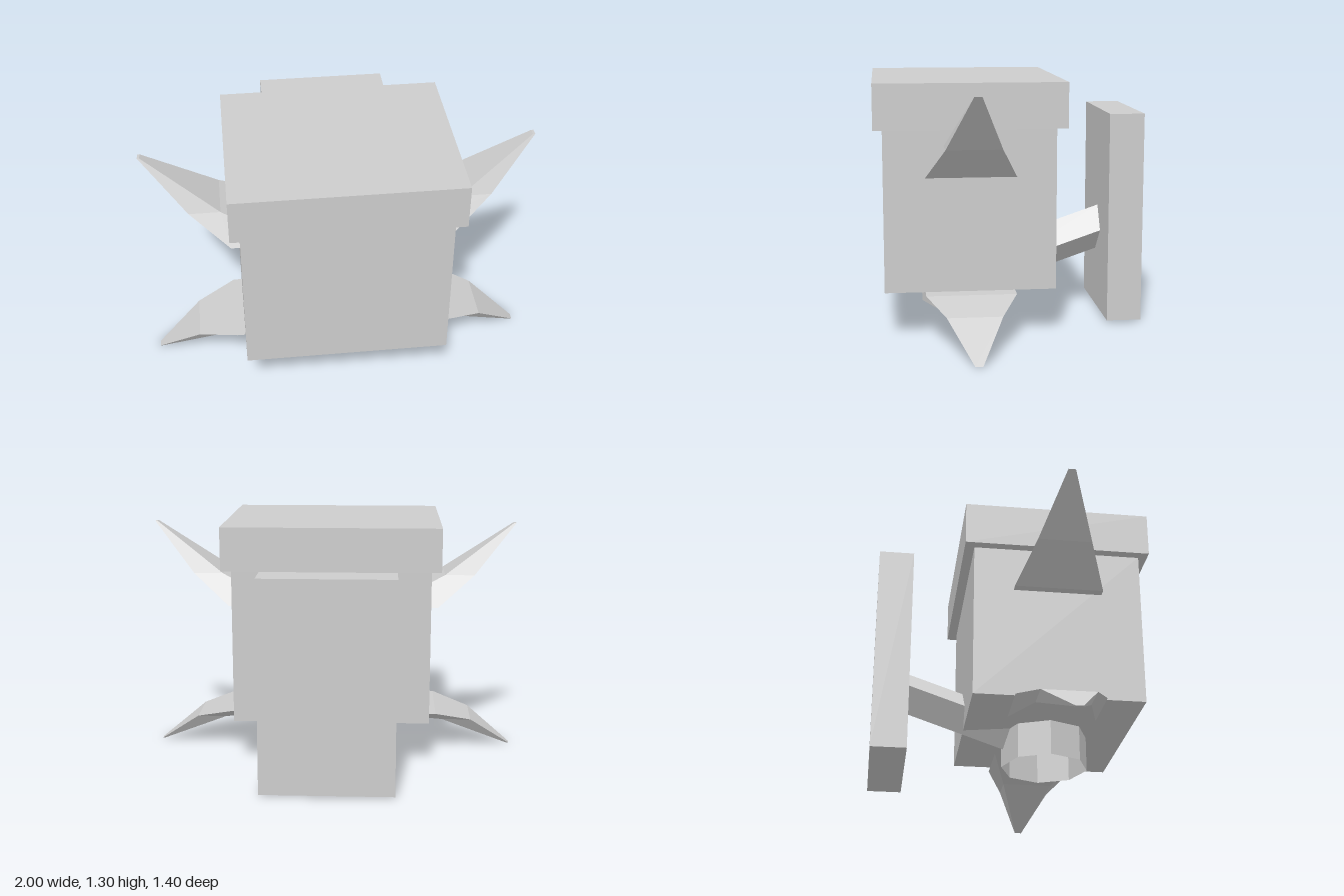
import * as THREE from 'three';

const grey = new THREE.MeshStandardMaterial({ color: 0xcccccc });
grey.name = 'grey';
const greyOpen = new THREE.MeshStandardMaterial({ color: 0xcccccc, side: THREE.DoubleSide });
greyOpen.name = 'grey open shell';

// Box given by its min and max on each axis
function box(name, [x0, x1], [y0, y1], [z0, z1]) {
  const mesh = new THREE.Mesh(new THREE.BoxGeometry(x1 - x0, y1 - y0, z1 - z0), grey);
  mesh.position.set((x0 + x1) / 2, (y0 + y1) / 2, (z0 + z1) / 2);
  mesh.name = name;
  return mesh;
}

// Curved fin: three rectangular sections, [base, middle, tip], at the given heights
const SECTIONS = [
  { x: 0.42, halfX: 0.15, halfZ: 0.229 },
  { x: 0.69, halfX: 0.08, halfZ: 0.138 },
  { x: 0.994, halfX: 0.006, halfZ: 0.019 },
];

function fin(name, side, heights) {
  const box = new THREE.BoxGeometry(2, 2, 2, 1, 2, 1);
  const up = heights[2] > heights[0] ? 1 : -1;
  const p = box.attributes.position;
  for (let i = 0; i < p.count; i++) {
    const k = Math.round(1 + p.getY(i) * up);
    const s = SECTIONS[k];
    p.setXYZ(i, side * s.x + p.getX(i) * s.halfX, heights[k], 0.221 + p.getZ(i) * s.halfZ);
  }
  const geometry = box.toNonIndexed();
  geometry.computeVertexNormals();
  const mesh = new THREE.Mesh(geometry, grey);
  mesh.name = name;
  return mesh;
}

export function createModel() {
  const model = new THREE.Group();
  model.name = 'model';

  // Body, overhanging lid and upright tail plate
  model.add(
    box('body', [-0.525, 0.525], [0.245, 1.075], [-0.214, 0.657]),
    box('lid', [-0.575, 0.575], [1.073, 1.303], [-0.264, 0.703]),
    box('tailPlate', [-0.345, 0.345], [0.013, 1.118], [-0.70, -0.518]),
  );

  // Open eight-sided nozzle under the body
  const nozzle = new THREE.Mesh(new THREE.CylinderGeometry(0.229, 0.229, 0.187, 8, 1, true).toNonIndexed(), greyOpen);
  nozzle.geometry.computeVertexNormals();
  nozzle.position.set(0, 0.1535, 0.222);
  nozzle.name = 'nozzle';
  model.add(nozzle);

  // Four-sided boom sloping up from the underside to the tail plate
  const section = new THREE.Shape(
    [[0.035, 0.121], [-0.105, 0], [-0.015, -0.121], [0.12, 0]].map(([x, y]) => new THREE.Vector2(x, y)),
  );
  const boom = new THREE.Mesh(new THREE.ExtrudeGeometry(section, { depth: 0.633, bevelEnabled: false }), grey);
  boom.rotation.x = 0.328;
  boom.position.set(0, 0.471, -0.56);
  boom.name = 'tailBoom';
  model.add(boom);

  // Upper fins sweep up, lower fins sweep down
  for (const [label, side] of [['Left', 1], ['Right', -1]]) {
    model.add(fin('upperFin' + label, side, [0.835, 1.0, 1.272]));
    model.add(fin('lowerFin' + label, side, [0.235, 0.177, 0.003]));
  }
  return model;
}
